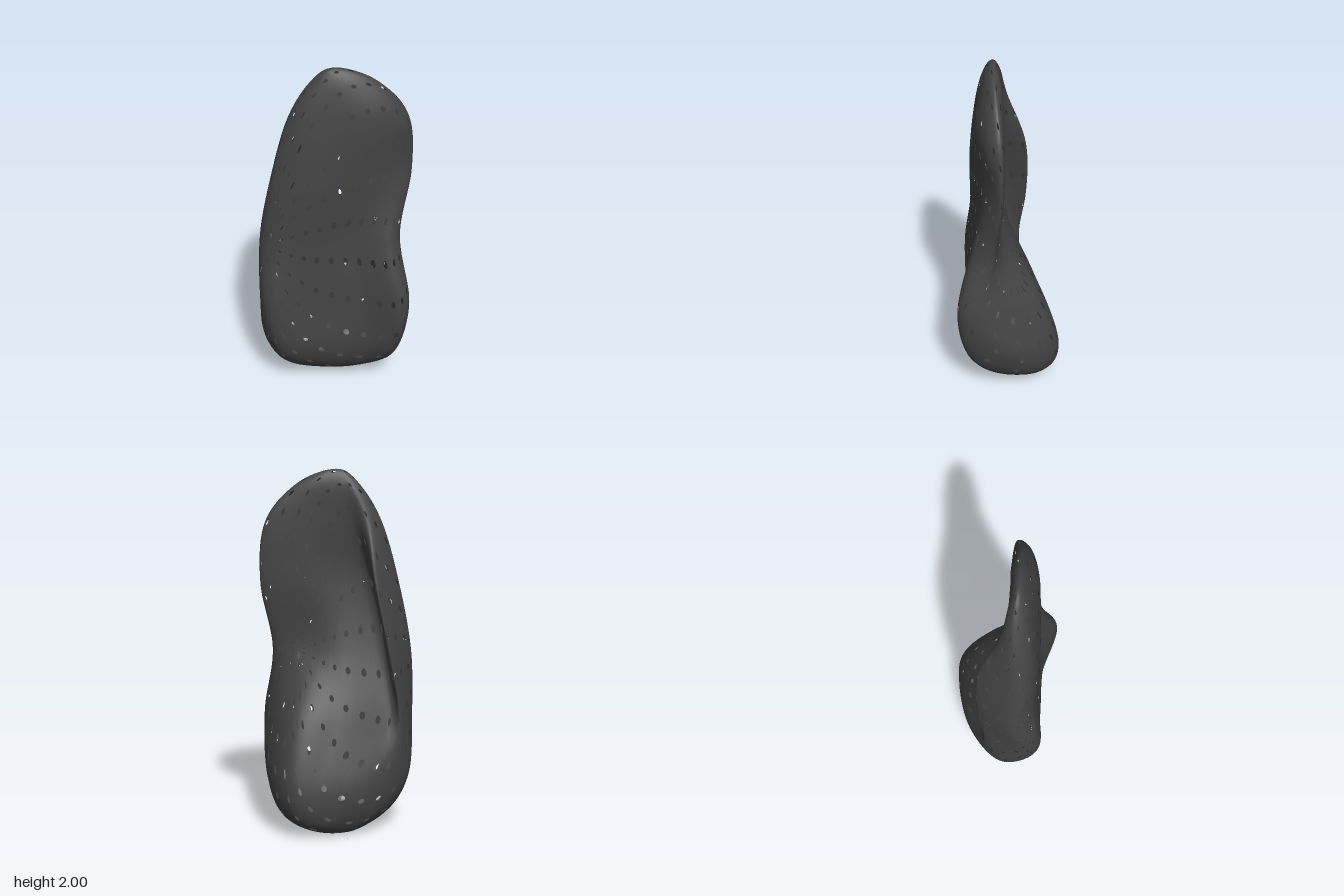
import * as THREE from 'three';
import { mergeVertices } from 'three/addons/utils/BufferGeometryUtils.js';

// Level sections from top to bottom, in a frame turned 45 degrees about y:
// u runs along the broad side, n through the thickness (front positive).
// Each: y, left edge [u, n], right edge [u, n], front n from left to right,
// back points [u, n] from the curled left flange and its groove to the right
const LEVELS = [
  [1.92, [-0.16, 0.01], [0.18, 0.045], [0.06, 0.09, 0.095, 0.075], [[-0.12, -0.015], [-0.06, -0.01], [0.03, 0], [0.11, 0.01]]],
  [1.71, [-0.285, 0.00], [0.35, 0.04], [0.085, 0.13, 0.15, 0.115], [[-0.20, -0.07], [-0.12, -0.015], [0.02, 0], [0.18, 0.005]]],
  [1.38, [-0.38, 0.00], [0.375, 0.04], [0.10, 0.15, 0.145, 0.10], [[-0.235, -0.18], [-0.22, -0.005], [-0.03, 0.01], [0.15, 0.005]]],
  [1.00, [-0.45, -0.02], [0.31, 0.08], [0.10, 0.14, 0.14, 0.19], [[-0.31, -0.20], [-0.29, -0.05], [-0.05, -0.05], [0.13, 0.005]]],
  [0.62, [-0.47, 0.04], [0.36, 0.14], [0.15, 0.15, 0.18, 0.28], [[-0.385, -0.16], [-0.30, -0.15], [-0.03, -0.20], [0.23, -0.18]]],
  [0.29, [-0.44, -0.04], [0.355, -0.06], [0.12, 0.16, 0.18, 0.21], [[-0.36, -0.17], [-0.17, -0.275], [0.09, -0.315], [0.26, -0.285]]],
  [0.08, [-0.30, -0.08], [0.25, -0.14], [0.00, 0.05, 0.07, 0.03], [[-0.21, -0.20], [-0.10, -0.255], [0.06, -0.295], [0.19, -0.265]]],
];
const V = (u, y, n) => new THREE.Vector3(u, y, n);
const TOP = V(-0.035, 2, 0.035), BOTTOM = V(-0.035, 0, -0.16);

// Ten points round each section, starting at the right edge and passing the front
const sections = LEVELS.map(([y, [uL, nL], [uR, nR], front, back]) => {
  const c = (uL + uR) / 2, r = (uR - uL) / 2;
  const frontPoints = [-0.84, -0.32, 0.32, 0.84].map((f, i) => V(c + r * f, y, front[i])).reverse();
  return [V(uR, y, nR), ...frontPoints, V(uL, y, nL), ...back.map(([u, n]) => V(u, y, n))];
});

// Closed meridians: down one column and back up the opposite one, smooth over both ends
const meridians = [...Array(10).keys()].map((j) => new THREE.CatmullRomCurve3([
  TOP, ...sections.map((s) => s[j]),
  BOTTOM, ...sections.map((s) => s[(j + 5) % 10]).reverse(),
], true, 'catmullrom', 0.5));

// Point of the body for a unit direction d in the (u, y, n) frame
function surfacePoint(d) {
  const t = Math.acos(THREE.MathUtils.clamp(d.y, -1, 1)) / Math.PI;
  const ring = new THREE.CatmullRomCurve3(meridians.map((m) => m.getPoint(t / 2)), true, 'catmullrom', 0.5);
  const a = Math.atan2(d.z, d.x) / (2 * Math.PI);
  const p = ring.getPoint((a + 1) % 1);
  return V((p.x + p.z) * Math.SQRT1_2, p.y, (p.z - p.x) * Math.SQRT1_2);
}

// Sphere of cells whose poles lie on the back hollow and the front left edge
const TILT = 0.48;
const AXIS = V(Math.cos(TILT), 0, -Math.sin(TILT));
const SIDE = V(Math.sin(TILT), 0, Math.cos(TILT));
function direction(theta, phi) {
  const s = Math.sin(theta);
  return AXIS.clone().multiplyScalar(Math.cos(theta))
    .addScaledVector(SIDE, s * Math.sin(phi)).add(V(0, s * Math.cos(phi), 0)).normalize();
}

function perforatedShell() {
  const rows = 16, columns = 24, seg = 16, rings = 4;
  const dT = Math.PI / rows, dP = 2 * Math.PI / columns;
  const holeT = 0.032, holeP = 0.025;
  const positions = [], index = [];
  for (let i = 0; i < rows; i++) for (let j = 0; j < columns; j++) {
    const start = positions.length / 3;
    // Each cell is a band from a round hole out to its square border
    for (let r = 0; r <= rings; r++) for (let k = 0; k < seg; k++) {
      const g = 2 * Math.PI * k / seg, c = Math.cos(g), s = Math.sin(g);
      const m = Math.max(Math.abs(c), Math.abs(s)), f = r / rings;
      const theta = (i + 0.5) * dT + THREE.MathUtils.lerp(c * holeT, c / m * dT / 2, f);
      const phi = (j + 0.5) * dP + THREE.MathUtils.lerp(s * holeP, s / m * dP / 2, f);
      positions.push(...surfacePoint(direction(theta, phi)).toArray());
      if (r === rings) continue;
      const a = start + r * seg + k, b = start + r * seg + (k + 1) % seg;
      index.push(a, a + seg, b + seg, a, b + seg, b);
    }
  }
  const geometry = new THREE.BufferGeometry();
  geometry.setAttribute('position', new THREE.Float32BufferAttribute(positions, 3));
  geometry.setIndex(index);
  const smooth = mergeVertices(geometry, 1e-4);
  smooth.computeVertexNormals();
  smooth.center();
  smooth.translate(0, 1, 0);
  return smooth;
}

export function createModel() {
  const group = new THREE.Group();
  group.name = 'perforatedForm';
  const material = new THREE.MeshStandardMaterial({ color: 0x444444, side: THREE.DoubleSide });
  const shell = new THREE.Mesh(perforatedShell(), material);
  shell.name = 'perforatedShell';
  group.add(shell);
  return group;
}
